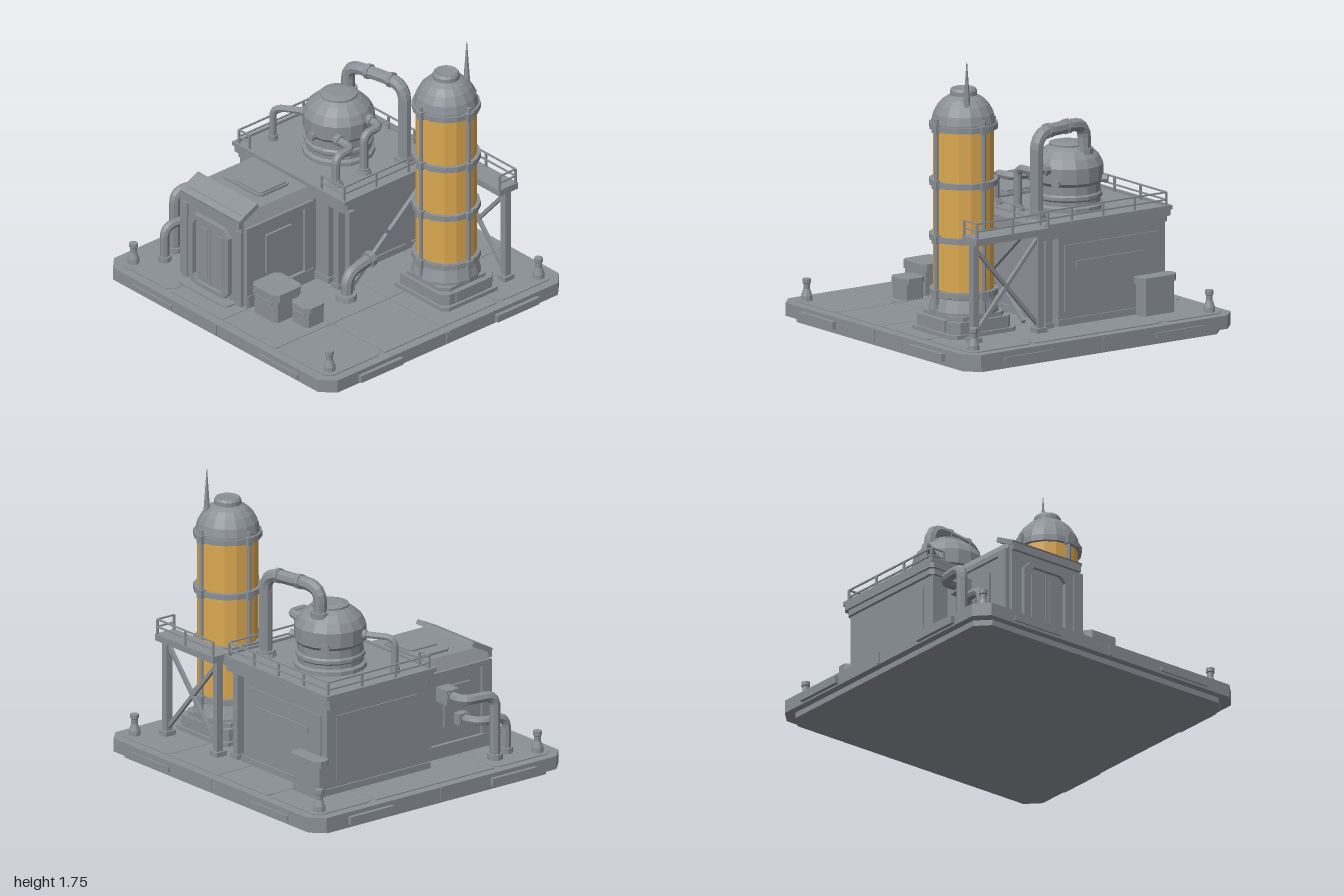
import * as THREE from 'three';

const steel = new THREE.MeshStandardMaterial({ color: 0x8b9096, flatShading: true });
steel.name = 'steel grey';
const amber = new THREE.MeshStandardMaterial({ color: 0xdba851, flatShading: true });
amber.name = 'amber glass';

const V = (x, y, z) => new THREE.Vector3(x, y, z);

export function createModel() {
  const root = new THREE.Group();
  root.name = 'processingStation';

  const add = (name, geo, x = 0, y = 0, z = 0, mat = steel) => {
    const m = new THREE.Mesh(geo, mat);
    m.name = name;
    m.position.set(x, y, z);
    root.add(m);
    return m;
  };
  // Box given by its minimum and maximum on each axis
  const box = (name, x0, x1, y0, y1, z0, z1) =>
    add(name, new THREE.BoxGeometry(x1 - x0, y1 - y0, z1 - z0), (x0 + x1) / 2, (y0 + y1) / 2, (z0 + z1) / 2);
  const cyl = (name, r0, r1, y0, y1, x, z, n = 12, mat = steel) =>
    add(name, new THREE.CylinderGeometry(r1, r0, y1 - y0, n), x, (y0 + y1) / 2, z, mat);
  const lathe = (name, pts, x, z, n, mat = steel) =>
    add(name, new THREE.LatheGeometry(pts.map(p => new THREE.Vector2(...p)), n), x, 0, z, mat);
  // Rectangle with cut corners
  const cutRect = (w, h, c) => {
    const a = w / 2, b = h / 2;
    return [[-a + c, -b], [a - c, -b], [a, -b + c], [a, b - c], [a - c, b], [-a + c, b], [-a, b - c], [-a, -b + c]]
      .map(p => new THREE.Vector2(...p));
  };
  const slab = (name, w, d, c, y0, y1, x = 0, z = 0) => {
    const g = new THREE.ExtrudeGeometry(new THREE.Shape(cutRect(w, d, c)), { depth: y1 - y0, bevelEnabled: false });
    return add(name, g.rotateX(-Math.PI / 2), x, y0, z);
  };
  // Square bar between two points
  const beam = (name, a, b, w) => {
    const m = add(name, new THREE.BoxGeometry(w, w, a.distanceTo(b)));
    m.position.copy(a).lerp(b, 0.5);
    m.lookAt(b);
    return m;
  };
  // Pipe along a polyline with rounded corners
  const pipe = (name, pts, r, bend = 0.07) => {
    const path = new THREE.CurvePath();
    let last = pts[0];
    for (let i = 1; i < pts.length - 1; i++) {
      const p = pts[i];
      const cut = q => p.clone().add(q.clone().sub(p).setLength(Math.min(bend, q.distanceTo(p) * 0.48)));
      const a = cut(pts[i - 1]), b = cut(pts[i + 1]);
      path.add(new THREE.LineCurve3(last, a));
      path.add(new THREE.QuadraticBezierCurve3(a, p, b));
      last = b;
    }
    path.add(new THREE.LineCurve3(last, pts[pts.length - 1]));
    add(name, new THREE.TubeGeometry(path, 32, r, 8));
    // Collars at both ends
    [[pts[0], pts[1]], [pts.at(-1), pts.at(-2)]].forEach(([p, q]) => {
      const dir = q.clone().sub(p).normalize();
      const c = add(name + 'Collar', new THREE.CylinderGeometry(r * 1.4, r * 1.4, 0.035, 10));
      c.position.copy(p).addScaledVector(dir, 0.017);
      c.quaternion.setFromUnitVectors(V(0, 1, 0), dir);
    });
  };
  const railing = (name, pts, y0, h, step = 0.23) => {
    for (let i = 0; i < pts.length - 1; i++) {
      const a = V(pts[i][0], y0, pts[i][1]), b = V(pts[i + 1][0], y0, pts[i + 1][1]);
      [h, h * 0.5].forEach(k => beam(name, a.clone().setY(y0 + k), b.clone().setY(y0 + k), 0.009));
      const n = Math.max(1, Math.round(a.distanceTo(b) / step));
      for (let j = 0; j <= n; j++) {
        const p = a.clone().lerp(b, j / n);
        box(name + 'Post', p.x - 0.006, p.x + 0.006, y0, y0 + h, p.z - 0.006, p.z + 0.006);
      }
    }
  };

  // Platform with floor tiles, edge plates and corner bollards
  slab('platformFoot', 1.86, 1.8, 0.08, 0, 0.04);
  slab('platformRim', 1.95, 1.89, 0.08, 0.035, 0.115);
  for (let i = 0; i < 4; i++) for (let j = 0; j < 4; j++) {
    const corner = (i % 3 === 0) && (j % 3 === 0);
    const x = (i - 1.5) * 0.46, z = (j - 1.5) * 0.445;
    slab('floorTile', 0.455, 0.44, corner ? 0.04 : 0.002, 0.114, 0.121, x, z);
  }
  for (const s of [-1, 1]) {
    for (const t of [-1, 1]) {
      box('edgePlate', t * 0.55 - 0.172, t * 0.55 + 0.172, 0.05, 0.08, s * 0.95 - 0.006, s * 0.95 + 0.006);
      box('edgePlate', s * 0.985 - 0.014, s * 0.985 + 0.014, 0.045, 0.09, t * 0.535 - 0.165, t * 0.535 + 0.165);
      lathe('bollard', [[0, 0.12], [0.036, 0.12], [0.034, 0.15], [0.02, 0.19], [0.02, 0.22], [0.026, 0.225], [0.026, 0.25], [0, 0.25]], s * 0.855, t * 0.82, 10);
    }
    box('edgeClip', -0.012, 0.012, 0.04, 0.11, s * 0.945 - 0.006, s * 0.945 + 0.006);
    box('edgeClip', s * 0.975 - 0.006, s * 0.975 + 0.006, 0.04, 0.11, -0.012, 0.012);
  }

  // Main building with overhanging roof deck
  box('mainBody', -0.68, 0.09, 0.12, 0.67, -0.62, 0.14);
  box('mainPlinth', -0.69, 0.1, 0.12, 0.16, -0.63, 0.15);
  slab('roofBeam', 0.95, 0.79, 0.02, 0.65, 0.69, -0.225, -0.24);
  slab('roofDeck', 0.98, 0.82, 0.02, 0.685, 0.73, -0.225, -0.24);
  for (const z of [-0.64, 0.165]) box('roofLip', -0.715, 0.265, 0.72, 0.745, z - 0.008, z + 0.008);
  for (const x of [-0.707, 0.257]) box('roofLip', x - 0.008, x + 0.008, 0.72, 0.745, -0.64, 0.165);
  railing('roofRail', [[-0.69, 0.14], [-0.69, -0.62], [0.225, -0.62], [0.225, 0.14]], 0.73, 0.09);
  railing('roofRail', [[-0.69, 0.14], [-0.6, 0.14]], 0.73, 0.09);
  railing('roofRail', [[0.03, 0.14], [0.225, 0.14]], 0.73, 0.09);
  for (const z of [-0.6, 0.12]) {
    box('roofPost', 0.14, 0.185, 0.12, 0.67, z - 0.025, z + 0.025);
    box('roofPostFoot', 0.13, 0.195, 0.12, 0.15, z - 0.035, z + 0.035);
  }
  box('sideWallPanel', 0.085, 0.098, 0.2, 0.6, -0.5, 0.02);
  box('backWallPanel', -0.63, 0.05, 0.2, 0.6, -0.628, -0.61);
  box('backWallVent', -0.52, -0.03, 0.46, 0.5, -0.637, -0.62);
  box('leftWallPanel', -0.688, -0.67, 0.2, 0.6, -0.55, 0.06);

  // Utility cabinet on the back wall
  slab('cabinet', 0.24, 0.09, 0.02, 0.12, 0.32, -0.575, -0.665);
  slab('cabinetLid', 0.27, 0.11, 0.03, 0.31, 0.35, -0.575, -0.665);

  // Entrance block with chamfered roof
  const annex = new THREE.Shape([[-0.57, 0.12], [-0.02, 0.12], [-0.02, 0.65], [-0.06, 0.72], [-0.53, 0.72], [-0.57, 0.65]]
    .map(p => new THREE.Vector2(...p)));
  add('entranceBlock', new THREE.ExtrudeGeometry(annex, { depth: 0.55, bevelEnabled: false }), 0, 0, 0.14);
  for (const x of [-0.575, -0.015]) {
    for (const z of [0.205, 0.66]) box('sidePilaster', x - 0.012, x + 0.012, 0.12, 0.65, z - 0.035, z + 0.035);
    box('sideBand', x - 0.012, x + 0.012, 0.62, 0.65, 0.17, 0.69);
    box('sideSkirt', x - 0.018, x + 0.018, 0.12, 0.2, 0.17, 0.69);
    box('sideVent', x - 0.01, x + 0.01, 0.3, 0.55, 0.34, 0.54);
  }
  box('entranceFront', -0.55, -0.04, 0.12, 0.66, 0.68, 0.705);
  slab('roofHatch', 0.34, 0.25, 0.025, 0.715, 0.735, -0.31, 0.35);
  slab('roofHatchLid', 0.24, 0.22, 0.02, 0.73, 0.745, -0.27, 0.35);
  const awning = box('awning', -0.555, -0.035, 0.705, 0.735, 0.57, 0.73);
  awning.rotation.x = 0.45;
  box('awningLip', -0.55, -0.04, 0.645, 0.69, 0.69, 0.725);
  // Door frame and two door leaves
  const frame = new THREE.Shape(cutRect(0.35, 0.47, 0.05));
  frame.holes.push(new THREE.Path(cutRect(0.27, 0.41, 0.035)));
  add('doorFrame', new THREE.ExtrudeGeometry(frame, { depth: 0.035, bevelEnabled: false }), -0.3, 0.36, 0.7);
  for (const s of [-1, 1]) {
    const cx = -0.3 + s * 0.066;
    box('doorLeaf', cx - 0.063, cx + 0.063, 0.15, 0.57, 0.7, 0.712);
    box('doorPanel', cx - 0.04, cx + 0.04, 0.2, 0.52, 0.71, 0.717);
    box('frontPilaster', -0.295 + s * 0.235 - 0.025, -0.295 + s * 0.235 + 0.025, 0.12, 0.62, 0.7, 0.715);
  }
  slab('doorStep', 0.43, 0.12, 0.02, 0.12, 0.13, -0.3, 0.73);

  // Wall pipes beside the entrance
  box('pipeBox', -0.67, -0.56, 0.47, 0.56, 0.29, 0.38);
  box('pipeBox', -0.64, -0.56, 0.31, 0.38, 0.41, 0.48);
  pipe('upperWallPipe', [V(-0.64, 0.515, 0.335), V(-0.765, 0.515, 0.335), V(-0.795, 0.515, 0.55), V(-0.795, 0.12, 0.55)], 0.033);
  pipe('lowerWallPipe', [V(-0.6, 0.345, 0.445), V(-0.735, 0.345, 0.48), V(-0.75, 0.345, 0.67), V(-0.75, 0.12, 0.67)], 0.028);

  // Domed vessel on the roof
  const vx = -0.25, vz = -0.246;
  lathe('vessel', [[0, 0.73], [0.215, 0.73], [0.215, 0.755], [0.195, 0.765], [0.195, 0.79], [0.205, 0.8], [0.205, 0.82],
    [0.195, 0.83], [0.195, 0.88], [0.212, 0.9], [0.212, 0.99], [0.185, 1.04], [0.14, 1.08], [0.11, 1.1], [0.11, 1.112], [0.07, 1.122], [0, 1.122]], vx, vz, 16);
  for (const a of [0.05, 2.2, 3.9]) {
    const n = add('vesselPort', new THREE.CylinderGeometry(0.026, 0.026, 0.05, 8).rotateX(Math.PI / 2));
    n.position.set(vx + Math.sin(a) * 0.215, 0.905, vz + Math.cos(a) * 0.215);
    n.rotation.y = a;
  }
  pipe('overheadPipe', [V(-0.29, 1.06, -0.355), V(-0.29, 1.245, -0.355), V(0.115, 1.245, -0.435), V(0.115, 0.73, -0.435)], 0.04, 0.11);
  for (const x of [-0.14, 0.02]) {
    const c = add('pipeBand', new THREE.CylinderGeometry(0.047, 0.047, 0.025, 8).rotateZ(Math.PI / 2), x, 1.245, -0.355 - (x + 0.29) * 0.198);
    c.rotation.y = 0.195;
  }
  pipe('vesselPipeBack', [V(-0.06, 0.985, -0.31), V(0.045, 0.985, -0.31), V(0.055, 0.985, -0.17), V(0.055, 0.73, -0.17)], 0.025, 0.05);
  pipe('vesselPipeFront', [V(-0.1, 0.915, -0.1), V(0.04, 0.915, -0.09), V(0.055, 0.915, 0.05), V(0.055, 0.73, 0.05)], 0.025, 0.05);
  pipe('vesselPipeLeft', [V(-0.42, 0.945, -0.155), V(-0.595, 0.945, -0.04), V(-0.595, 0.73, -0.04)], 0.021, 0.06);
  for (const [x, z, r] of [[0.115, -0.435, 0.065], [0.055, -0.17, 0.045], [0.055, 0.05, 0.045]])
    cyl('roofFlange', r, r * 0.9, 0.73, 0.75, x, z);

  // Storage tower: base, glass, rings, bars, dome
  const tx = 0.577, tz = -0.345;
  slab('towerBase', 0.47, 0.44, 0.03, 0.12, 0.145, tx, tz);
  slab('towerPlinth', 0.43, 0.41, 0.04, 0.14, 0.215, tx, tz);
  slab('towerPlinthCap', 0.38, 0.37, 0.05, 0.21, 0.24, tx, tz);
  for (const s of [-1, 1]) box('plinthBlock', tx + s * 0.205 - 0.02, tx + s * 0.205 + 0.02, 0.15, 0.22, tz - 0.12, tz + 0.12);
  lathe('towerFoot', [[0, 0.235], [0.205, 0.235], [0.205, 0.255], [0.18, 0.33], [0.195, 0.34], [0.195, 0.375], [0, 0.375]], tx, tz, 16);
  cyl('towerGlass', 0.18, 0.18, 0.37, 1.34, tx, tz, 16, amber);
  for (const y of [0.355, 0.683, 1.01, 1.345]) {
    cyl('towerRing', 0.203, 0.203, y - 0.017, y + 0.017, tx, tz, 16);
    for (let i = 0; i < 4; i++) {
      const a = i * Math.PI / 2;
      const k = add('ringClamp', new THREE.BoxGeometry(0.045, 0.05, 0.035), tx + Math.sin(a) * 0.2, y, tz + Math.cos(a) * 0.2);
      k.rotation.y = a;
    }
  }
  for (let i = 0; i < 4; i++) {
    const a = i * Math.PI / 2;
    cyl('towerBar', 0.013, 0.013, 0.25, 1.4, tx + Math.sin(a) * 0.197, tz + Math.cos(a) * 0.197, 6);
  }
  lathe('towerDome', [[0, 1.35], [0.19, 1.35], [0.19, 1.37], [0.178, 1.42], [0.15, 1.47], [0.115, 1.505], [0.08, 1.525],
    [0.08, 1.55], [0.07, 1.565], [0.05, 1.56], [0, 1.56]], tx, tz, 16);
  cyl('antennaSpike', 0.022, 0.002, 1.47, 1.745, 0.635, -0.455, 6);

  // Rear walkway with legs, railing and cross braces
  box('walkwayDeck', 0.235, 0.77, 0.71, 0.75, -0.735, -0.59);
  railing('walkwayRail', [[0.245, -0.725], [0.76, -0.725], [0.76, -0.6]], 0.75, 0.09);
  for (const x of [0.27, 0.74]) {
    box('walkwayLeg', x - 0.02, x + 0.02, 0.12, 0.71, -0.69, -0.645);
    box('walkwayLegFoot', x - 0.035, x + 0.035, 0.12, 0.15, -0.705, -0.63);
  }
  beam('walkwayBrace', V(0.27, 0.16, -0.665), V(0.74, 0.69, -0.665), 0.022);
  beam('walkwayBrace', V(0.74, 0.16, -0.665), V(0.27, 0.69, -0.665), 0.022);
  // Braced frame along the side of the building
  box('sideFrameLeg', 0.235, 0.275, 0.12, 0.67, 0.1, 0.14);
  beam('sideBrace', V(0.255, 0.15, 0.12), V(0.255, 0.68, -0.5), 0.024);
  beam('sideBrace', V(0.255, 0.66, 0.12), V(0.255, 0.15, -0.5), 0.024);

  // Floor pipe beside the tower
  pipe('floorPipe', [V(0.295, 0.12, 0.18), V(0.295, 0.28, 0.18), V(0.275, 0.305, -0.03)], 0.036, 0.09);
  cyl('floorFlange', 0.065, 0.06, 0.12, 0.155, 0.295, 0.185);

  // Storage crates
  const crate = (x, z, w, d, h) => {
    slab('crateBody', w * 0.88, d * 0.88, 0.015, 0.12, 0.12 + h * 0.8, x, z);
    slab('crateLid', w, d, 0.03, 0.12 + h * 0.74, 0.12 + h, x, z);
    box('crateLabel', x - w * 0.3, x + w * 0.3, 0.12 + h * 0.58, 0.12 + h * 0.68, z + d * 0.44 - 0.002, z + d * 0.44 + 0.005);
  };
  crate(0.145, 0.595, 0.23, 0.22, 0.19);
  crate(0.34, 0.525, 0.16, 0.16, 0.13);

  return root;
}
